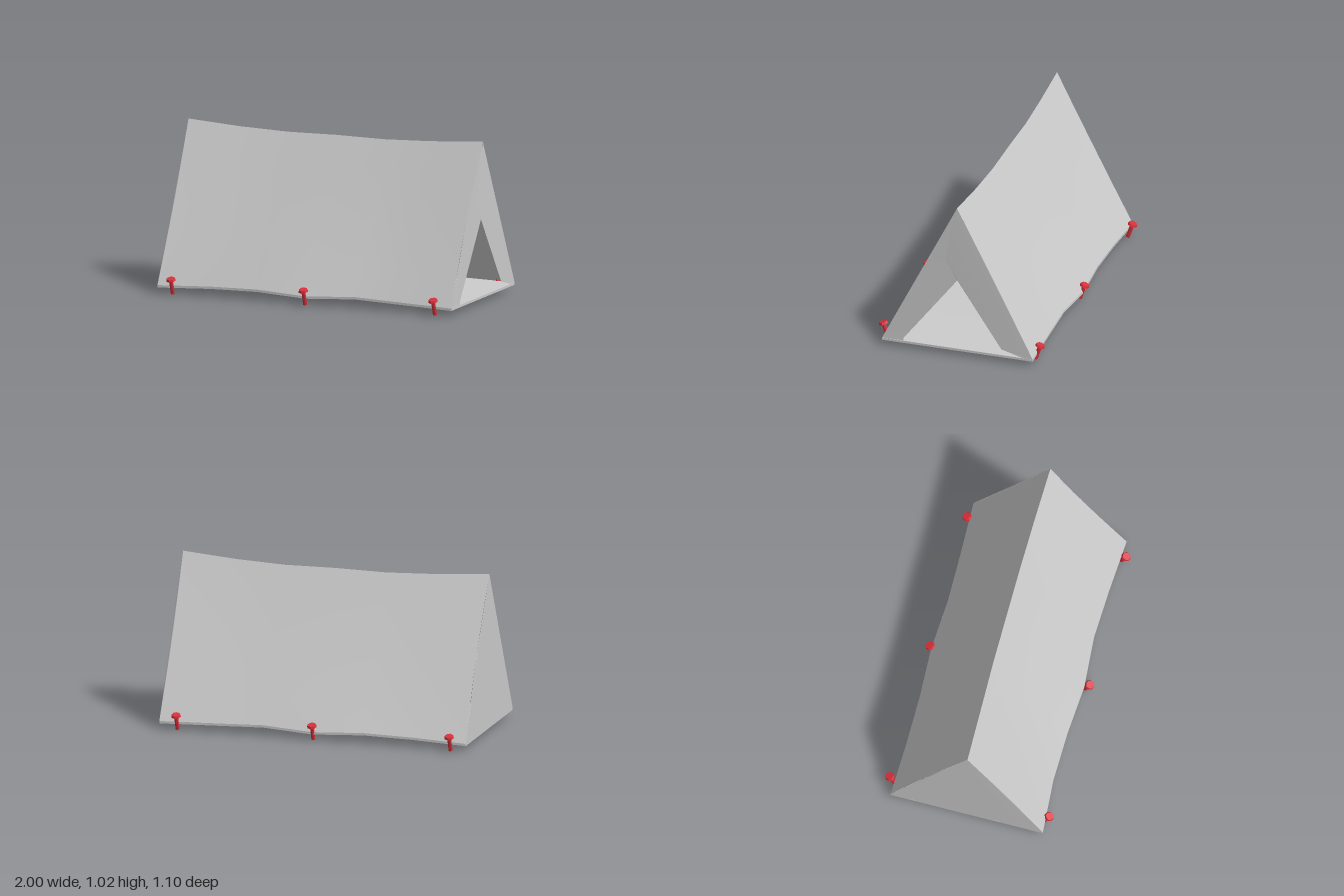
import * as THREE from 'three';

const cloth = new THREE.MeshStandardMaterial({ color: 0xcccccc, side: THREE.DoubleSide });
const red = new THREE.MeshStandardMaterial({ color: 0xd9303a, flatShading: true });

// Sagging edge lines, sampled at seven stations along x
const stations = [-1, -0.65, -0.33, 0, 0.33, 0.65, 1];
const frontZ = [0.485, 0.46, 0.465, 0.485, 0.46, 0.47, 0.49];
const backZ = [-0.495, -0.485, -0.485, -0.5, -0.48, -0.485, -0.495];
const ridgeY = [1.025, 1.0, 0.988, 0.992, 0.988, 1.0, 1.025];
const ridgeZ = [0, -0.008, -0.015, -0.015, -0.015, -0.01, 0];
const hemY = [0.038, 0.05, 0.055, 0.04, 0.055, 0.045, 0.036];
const THICK = 0.015;
const { lerp } = THREE.MathUtils;

// The ends bow slightly inwards at mid height
const endX = (y) => 0.998 - 0.009 * Math.sin(Math.PI * THREE.MathUtils.clamp((y - 0.05) / 0.97, 0, 1));

function addMesh(group, name, geometry, material) {
  const mesh = new THREE.Mesh(geometry, material);
  mesh.name = name;
  group.add(mesh);
  return mesh;
}

// Sloping roof panel between a hem and the ridge
function roofPanel(hemZ, side) {
  const rows = 6;
  const geo = new THREE.PlaneGeometry(1, 1, stations.length - 1, rows);
  const p = geo.attributes.position;
  for (let i = 0; i < p.count; i++) {
    const s = i % stations.length;
    const t = 1 - Math.floor(i / stations.length) / rows;
    const y = lerp(hemY[s] + THICK, ridgeY[s], t);
    const sag = 0.008 * Math.sin(Math.PI * t) * (1 - stations[s] ** 2);
    p.setXYZ(i, stations[s] * endX(y), y, lerp(hemZ[s], ridgeZ[s], t) - side * sag);
  }
  if (side < 0) geo.index.array.reverse();
  geo.computeVertexNormals();
  return geo;
}

// Ground sheet: a thin slab following both hems
function groundSheet() {
  const geo = new THREE.BoxGeometry(2, THICK, 2, stations.length - 1, 1, 4);
  const p = geo.attributes.position;
  for (let i = 0; i < p.count; i++) {
    const s = Math.round((p.getX(i) + 1) / 2 * (stations.length - 1));
    const t = (p.getZ(i) + 1) / 2;
    const top = p.getY(i) > 0 ? THICK : 0;
    p.setXYZ(i, stations[s] * 0.998, hemY[s] + top, lerp(backZ[s], frontZ[s], t));
  }
  geo.computeVertexNormals();
  return geo;
}

// End panel from a (z, y) outline; tuck pushes its free edge inwards
function endPanel(outline, sign, tuck = 0) {
  const shape = new THREE.Shape(outline.map(([z, y]) => new THREE.Vector2(-sign * z, y)));
  const geo = new THREE.ShapeGeometry(shape);
  const p = geo.attributes.position;
  for (let i = 0; i < p.count; i++) {
    const z = -sign * p.getX(i);
    const y = p.getY(i);
    const half = Math.max(0.001, 0.5 * (1.025 - y));
    const inward = tuck * Math.max(0, 1 - Math.abs(z) / half);
    p.setXYZ(i, sign * (endX(y) - inward), y, z);
  }
  geo.computeVertexNormals();
  return geo;
}

// Tent peg leaning outwards
function peg(x, z) {
  const group = new THREE.Group();
  group.name = 'peg';
  const shaft = addMesh(group, 'pegShaft', new THREE.CylinderGeometry(0.013, 0.013, 0.094, 8), red);
  shaft.position.y = 0.047;
  const head = addMesh(group, 'pegHead', new THREE.CylinderGeometry(0.026, 0.031, 0.014, 8), red);
  head.position.y = 0.099;
  group.position.set(x, 0.005, z);
  group.rotation.x = Math.sign(z) * 0.33;
  return group;
}

export function createModel() {
  const tent = new THREE.Group();
  tent.name = 'tent';

  addMesh(tent, 'frontRoof', roofPanel(frontZ, 1), cloth);
  addMesh(tent, 'backRoof', roofPanel(backZ, -1), cloth);
  addMesh(tent, 'groundSheet', groundSheet(), cloth);

  // Closed end
  addMesh(tent, 'closedEnd', endPanel([
    [0, 1.025], [-0.247, 0.54], [-0.495, 0.052], [0.485, 0.052], [0.243, 0.54],
  ], -1), cloth);

  // Door end: outer flap overlapping an inner flap, parted at the bottom
  addMesh(tent, 'outerDoorFlap', endPanel([
    [0, 1.025], [0.03, 0.9], [0.08, 0.65], [0, 0.52], [-0.29, 0.09],
    [-0.43, 0.052], [-0.495, 0.052], [-0.247, 0.54],
  ], 1), cloth);
  addMesh(tent, 'innerDoorFlap', endPanel([
    [0, 1.025], [-0.03, 0.88], [-0.04, 0.572], [0, 0.52], [0.35, 0.07],
    [0.35, 0.052], [0.49, 0.052], [0.245, 0.54],
  ], 1, 0.01), cloth);

  // Pegs along both hems
  for (const [x, z] of [
    [-0.9, 0.47], [0.005, 0.487], [0.885, 0.487],
    [-0.9, -0.495], [0, -0.477], [0.885, -0.477],
  ]) tent.add(peg(x, z));

  return tent;
}
